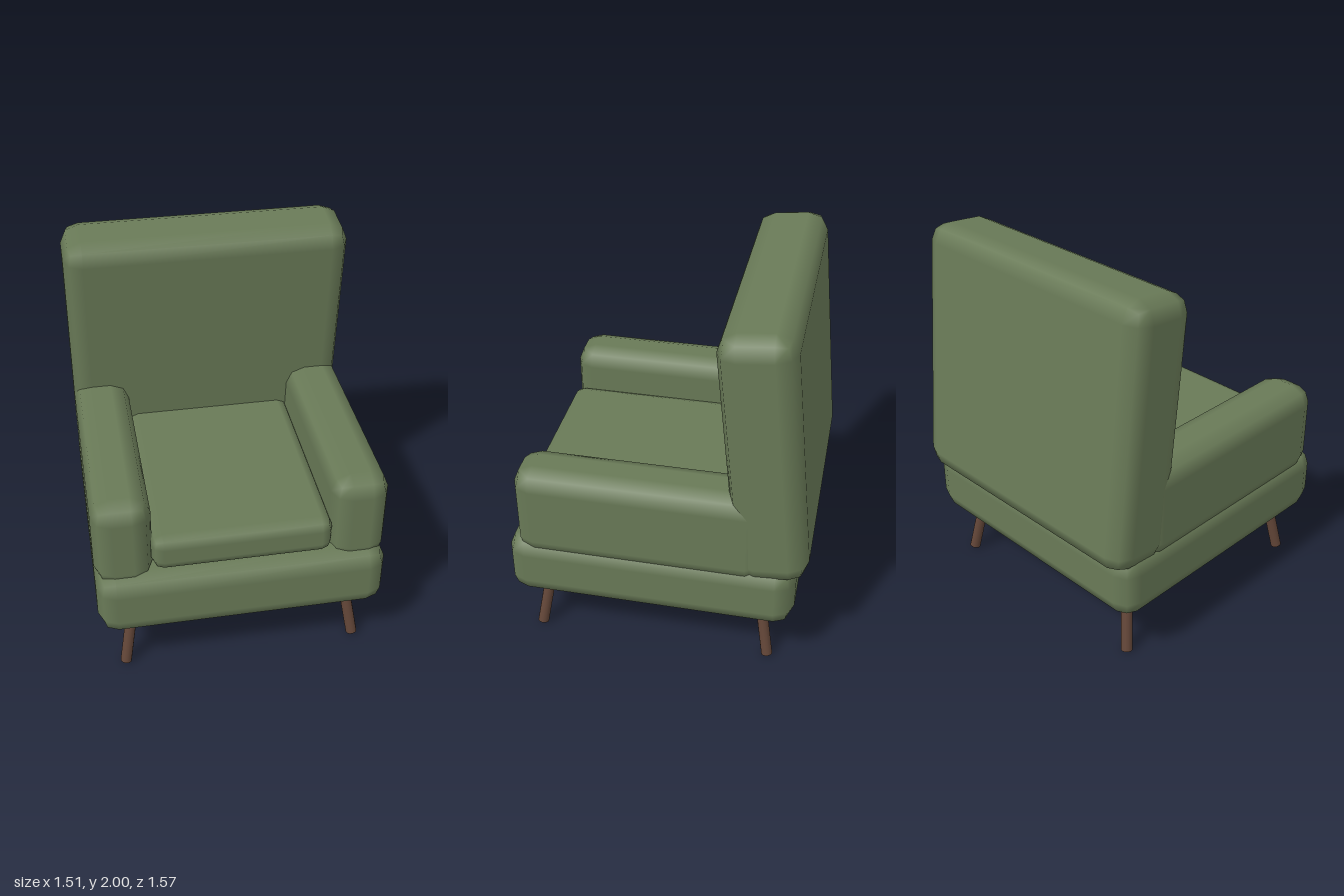
import * as THREE from 'three';
import { RoundedBoxGeometry } from 'three/addons/geometries/RoundedBoxGeometry.js';

const fabric = new THREE.MeshStandardMaterial({ color: 0x697a57 });
fabric.name = 'greenFabric';
const wood = new THREE.MeshStandardMaterial({ color: 0x634638 });
wood.name = 'brownWood';

// Upholstered block with softly rounded edges
function pad(name, size, centre, radius) {
  const mesh = new THREE.Mesh(new RoundedBoxGeometry(...size, 1, radius), fabric);
  mesh.name = name;
  mesh.position.set(...centre);
  return mesh;
}

// Round leg running between two points
function leg(name, foot, top) {
  const axis = top.clone().sub(foot);
  const mesh = new THREE.Mesh(new THREE.CylinderGeometry(0.03, 0.03, axis.length(), 12), wood);
  mesh.name = name;
  mesh.position.copy(foot).add(top).multiplyScalar(0.5);
  mesh.quaternion.setFromUnitVectors(new THREE.Vector3(0, 1, 0), axis.normalize());
  return mesh;
}

export function createModel() {
  const chair = new THREE.Group();
  chair.name = 'armchair';

  // Seat base and loose cushion
  chair.add(pad('seatBase', [1.51, 0.365, 1.51], [0, 0.4975, 0.03], 0.1));
  chair.add(pad('seatCushion', [0.93, 0.2, 1.2], [0, 0.78, 0.13], 0.06));

  // Backrest, tilted about its centre
  const back = pad('backrest', [1.51, 1.39, 0.375], [0, 1.3, -0.536], 0.1);
  back.rotation.x = 0.1;
  chair.add(back);

  for (const side of [1, -1]) {
    const label = side > 0 ? 'left' : 'right';
    chair.add(pad(label + 'Armrest', [0.3, 0.515, 1.3], [side * 0.605, 0.8475, 0.08], 0.1));

    // Splayed legs, front and back, mirrored about the seat centre
    for (const end of [1, -1]) {
      chair.add(leg(
        label + (end > 0 ? 'Front' : 'Back') + 'Leg',
        new THREE.Vector3(side * 0.627, 0.007, 0.031 + end * 0.627),
        new THREE.Vector3(side * 0.562, 0.4, 0.031 + end * 0.562)
      ));
    }
  }
  return chair;
}
